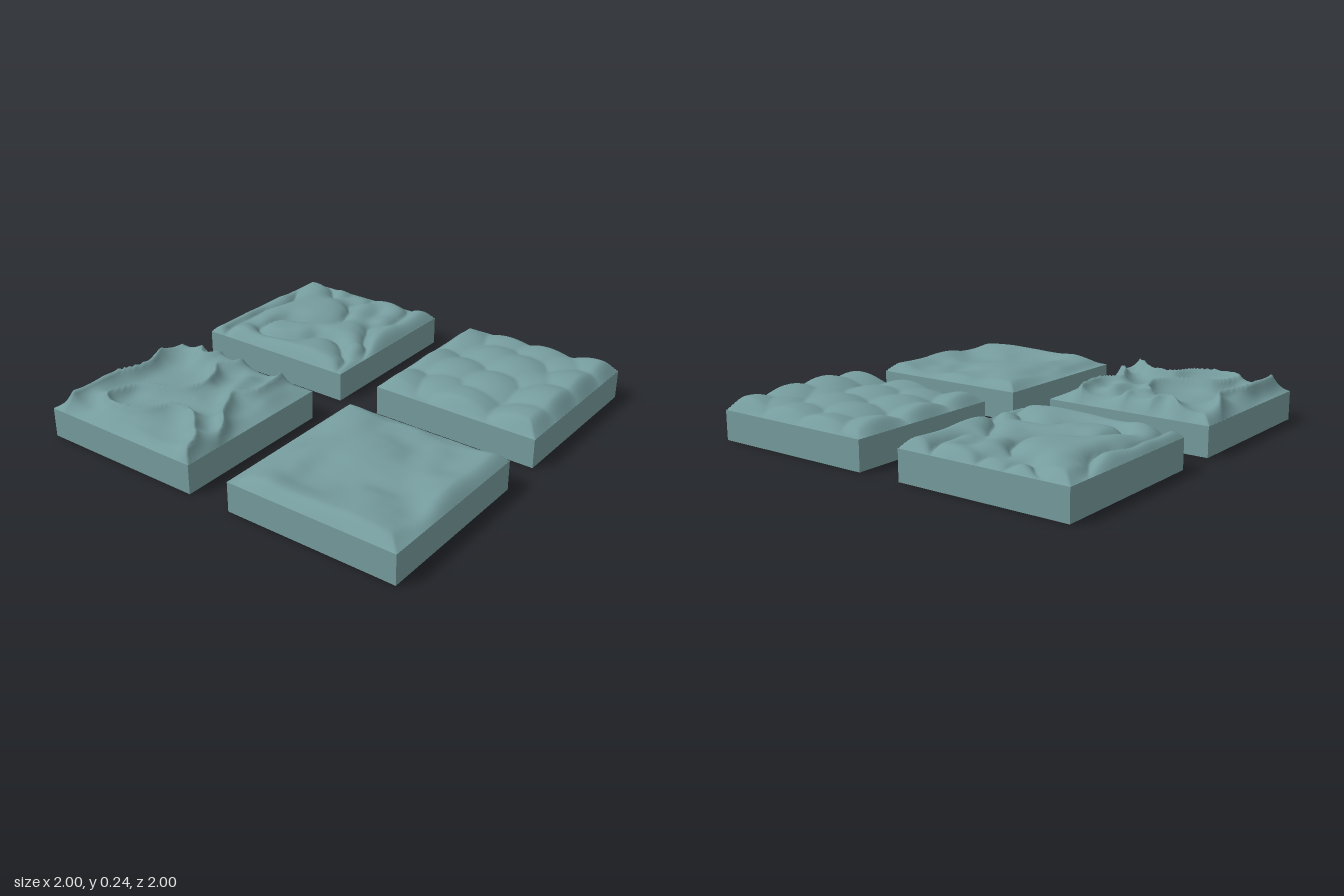
import * as THREE from 'three';

const SIZE = 0.885, BASE = 0.15, OFFSET = 0.5575, SEGMENTS = 84;

// Coarse noise lattice, one row per step of depth from back to front
const LATTICE = [
  [-5, -5, -5, -6, -5, -4, -4, -3, -1, 1, 2],
  [0, 1, 1, 1, 1, -1, -2, 0, 2, 3, 2],
  [4, 4, 1, 3, 5, 5, 4, 4, 4, 2, -1],
  [4, 2, -3, -3, 1, 5, 6, 5, 2, -1, -3],
  [4, 2, -3, -4, -1, 4, 6, 5, 2, 1, 1],
  [5, 3, -1, -4, -3, 1, 3, 2, -1, 1, 1],
  [5, 4, 2, 0, -4, -2, -1, -3, -4, -2, -3],
  [4, 5, 4, 1, -4, -4, -2, -1, -1, -3, -4],
  [4, 4, 2, -1, -3, -1, 1, -2, -2, -2, 0],
  [3, 2, -1, -3, 1, 4, 4, 2, 2, 3, 4],
  [-1, -2, -1, 2, 5, 6, 6, 5, 5, 5, 5],
];

// Cells of the cobbled terrain: centre and crown height
const CELLS = [
  [0.12, 0.07, 0.053], [0.45, 0.06, 0.055], [0.8, 0.07, 0.054], [0.2, 0.32, 0.05],
  [0.41, 0.28, 0.06], [0.68, 0.36, 0.058], [0.91, 0.32, 0.05], [0.12, 0.5, 0.062],
  [0.35, 0.53, 0.068], [0.62, 0.55, 0.07], [0.87, 0.58, 0.058], [0.13, 0.88, 0.066],
  [0.37, 0.88, 0.08], [0.52, 0.73, 0.056], [0.62, 0.9, 0.076], [0.8, 0.76, 0.054],
  [0.91, 0.91, 0.068],
];

function cubic(a, b, c, d, t) {
  return b + 0.5 * t * (c - a + t * (2 * a - 5 * b + 4 * c - d + t * (3 * (b - c) + d - a)));
}

// Bicubic reading of the lattice, about -0.6 to 0.6
function noise(u, v) {
  const last = LATTICE.length - 1;
  const i = Math.min(last - 1, Math.floor(u * last));
  const j = Math.min(last - 1, Math.floor(v * last));
  const at = (r, c) => LATTICE[THREE.MathUtils.clamp(r, 0, last)][THREE.MathUtils.clamp(c, 0, last)];
  const rows = [-1, 0, 1, 2].map((k) =>
    cubic(at(j + k, i - 1), at(j + k, i), at(j + k, i + 1), at(j + k, i + 2), u * last - i));
  return cubic(...rows, v * last - j) / 10;
}

// Distance from the creases, steep beside them and level further off
const crease = (u, v) => 1 - Math.exp(-Math.abs(noise(u, v)) / 0.35);

// Height rules above the slab
const smoothHills = (u, v) => Math.max(0.002, 0.029 + 0.045 * noise(u, v));
const sharpRidges = (u, v) => 0.092 * (1 - crease(u, v));
const roundBillows = (u, v) => 0.075 * crease(u, v);
const cobbledCells = (u, v) => {
  const sum = CELLS.reduce((s, [a, b, h]) =>
    s + Math.exp(350 * (h - 1.3 * ((u - a) ** 2 + (v - b) ** 2))), 0);
  return Math.max(0.01, Math.log(sum) / 350);
};

// Slopes the terrain down to the slab along its border
function border(u, v) {
  const d = Math.max(0, Math.min(u, v, 1 - u, 1 - v));
  return Math.sin(Math.min(1, d / 0.085) * Math.PI / 2);
}

function createTile(name, x, z, height, material) {
  const tile = new THREE.Group();
  tile.name = name;
  tile.position.set(x, 0, z);

  // Slab
  const slab = new THREE.Mesh(new THREE.BoxGeometry(SIZE, BASE, SIZE), material);
  slab.name = name + 'Slab';
  slab.position.y = BASE / 2;

  // Terrain surface
  const geometry = new THREE.PlaneGeometry(SIZE, SIZE, SEGMENTS, SEGMENTS).rotateX(-Math.PI / 2);
  const p = geometry.attributes.position;
  for (let i = 0; i < p.count; i++) {
    const u = THREE.MathUtils.clamp(p.getX(i) / SIZE + 0.5, 0, 1);
    const v = THREE.MathUtils.clamp(p.getZ(i) / SIZE + 0.5, 0, 1);
    p.setY(i, BASE + 0.0005 + border(u, v) * height(u, v));
  }
  geometry.computeVertexNormals();
  const terrain = new THREE.Mesh(geometry, material);
  terrain.name = name + 'Terrain';

  tile.add(slab, terrain);
  return tile;
}

export function createModel() {
  const material = new THREE.MeshStandardMaterial({ color: 0x769c9e });
  material.name = 'greyTeal';
  const model = new THREE.Group();
  model.name = 'terrainTiles';
  model.add(
    createTile('smoothTile', -OFFSET, OFFSET, smoothHills, material),
    createTile('ridgedTile', -OFFSET, -OFFSET, sharpRidges, material),
    createTile('billowTile', OFFSET, -OFFSET, roundBillows, material),
    createTile('cellTile', OFFSET, OFFSET, cobbledCells, material),
  );
  return model;
}
